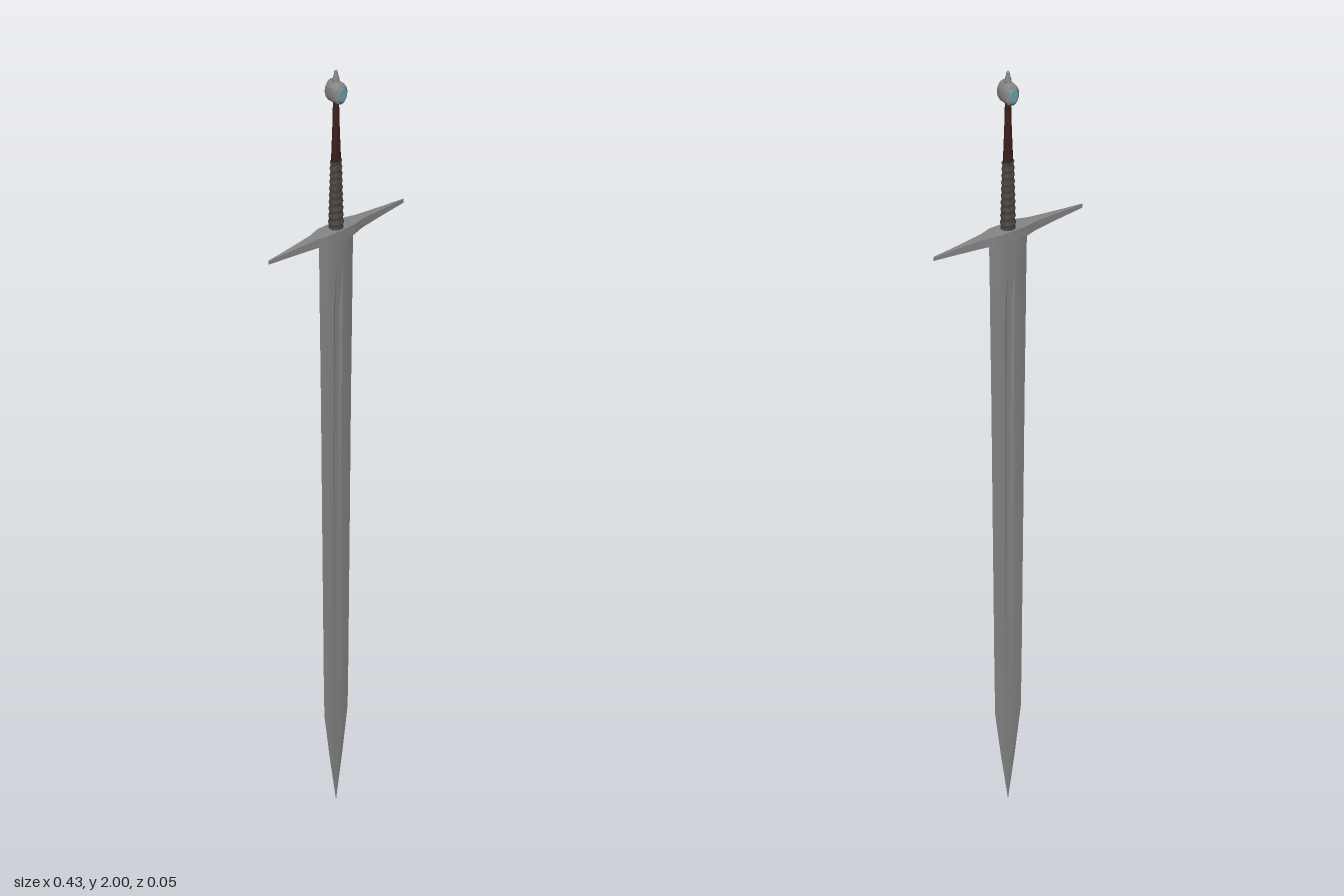
import * as THREE from 'three';
import { toCreasedNormals } from 'three/addons/utils/BufferGeometryUtils.js';

const material = (name, color) => {
  const m = new THREE.MeshStandardMaterial({ color });
  m.name = name;
  return m;
};

// Closed solid through rings of [x, z] points stacked along y
function loft(sections, crease = 0.6) {
  const n = sections[0].ring.length, pos = [], index = [];
  for (const { y, ring } of sections) for (const [x, z] of ring) pos.push(x, y, z);
  const last = (sections.length - 1) * n;
  pos.push(0, sections[0].y, 0, 0, sections.at(-1).y, 0);
  const low = last + n, high = low + 1;
  for (let j = 0; j < n; j++) {
    const k = (j + 1) % n;
    for (let i = 0; i < last; i += n) {
      index.push(i + j, i + n + j, i + k, i + k, i + n + j, i + n + k);
    }
    index.push(low, j, k, high, last + k, last + j);
  }
  const g = new THREE.BufferGeometry();
  g.setAttribute('position', new THREE.Float32BufferAttribute(pos, 3));
  g.setIndex(index);
  return toCreasedNormals(g, crease);
}

const ellipse = (rx, rz, n = 20) => Array.from({ length: n }, (_, j) => {
  const a = (j / n) * Math.PI * 2;
  return [rx * Math.cos(a), rz * Math.sin(a)];
});

// Blade section: sharp edges, flat bevels and a groove of the given depth
function bladeRing(w, t, groove) {
  const f = w * 0.26;
  const side = [[w, 0], [w * 0.6, t * 0.75], [f, t], [f * 0.5, t - groove * 0.8],
    [0, t - groove], [-f * 0.5, t - groove * 0.8], [-f, t], [-w * 0.6, t * 0.75]];
  return [...side, ...side.map(([x, z]) => [-x, -z])];
}

export function createModel() {
  const sword = new THREE.Group();
  sword.name = 'sword';
  const steel = material('steel', 0x868686);
  const wire = material('wire wrap', 0x4a4542);
  const leather = material('leather', 0x3c1f1e);
  const gem = material('gem', 0x68a3a8);
  const add = (name, geometry, mat) => {
    const mesh = new THREE.Mesh(geometry, mat);
    mesh.name = name;
    sword.add(mesh);
    return mesh;
  };

  // Blade: y, half width, half thickness, groove depth
  const blade = [
    [0, 0.0005, 0.0003, 0], [0.12, 0.02, 0.0018, 0], [0.24, 0.037, 0.0028, 0],
    [0.34, 0.039, 0.003, 0.001], [0.75, 0.044, 0.0042, 0.002], [1.1, 0.048, 0.006, 0.003],
    [1.36, 0.052, 0.008, 0.004], [1.45, 0.053, 0.009, 0], [1.55, 0.055, 0.01, 0],
  ].map(([y, w, t, g]) => ({ y, ring: bladeRing(w, t, g) }));
  add('blade', loft(blade, 0.25), steel);

  // Crossguard: x, half height, half depth
  const half = [[0.215, 0.005, 0.001], [0.14, 0.0085, 0.0065], [0.07, 0.012, 0.013],
    [0.055, 0.0125, 0.0175], [0.038, 0.0135, 0.0215]];
  const guard = [...half.map(([x, h, d]) => [-x, h, d]), ...half.toReversed()]
    .map(([y, h, d]) => ({ y, ring: [[h, -d], [h, d], [-h, d], [-h, -d]] }));
  add('crossguard', loft(guard, 0.3).rotateZ(-Math.PI / 2), steel).position.y = 1.555;

  // Lower grip with ribbed wire wrap
  const ribs = [];
  for (let i = 0; i <= 40; i++) {
    const u = i / 40, bump = 0.0013 * Math.cos(u * Math.PI * 20);
    ribs.push({
      y: 1.565 + 0.185 * u,
      ring: ellipse(0.0185 - 0.003 * u + bump, 0.0175 - 0.007 * u + bump),
    });
  }
  add('lowerGrip', loft(ribs), wire);

  // Upper grip
  const upper = [[1.745, 0.0135, 0.0098], [1.775, 0.0125, 0.0092], [1.84, 0.0095, 0.0082],
    [1.92, 0.0072, 0.0072]].map(([y, rx, rz]) => ({ y, ring: ellipse(rx, rz) }));
  add('upperGrip', loft(upper), leather);

  // Pommel: bevelled oval wheel with its axis front to back
  const lathe = (points, n) =>
    toCreasedNormals(new THREE.LatheGeometry(points.map((p) => new THREE.Vector2(...p)), n), 0.6);
  const wheel = lathe([[0, -0.023], [0.014, -0.023], [0.019, -0.019], [0.0205, -0.013],
    [0.0205, 0.013], [0.019, 0.019], [0.014, 0.023], [0, 0.023]], 28);
  add('pommel', wheel.rotateX(Math.PI / 2).scale(1, 1.45, 1), steel).position.y = 1.94;

  // Gem inlays on both faces
  for (const s of [1, -1]) {
    const inlay = new THREE.CylinderGeometry(0.0115, 0.0135, 0.002, 24)
      .rotateX(Math.PI / 2).scale(1, 1.45, 1);
    const mesh = add(s > 0 ? 'frontGem' : 'backGem', inlay, gem);
    mesh.position.set(0, 1.94, s * 0.0235);
    if (s < 0) mesh.rotation.y = Math.PI;
  }

  // Finial
  add('finial', lathe([[0, 1.96], [0.0095, 1.962], [0.0085, 1.975], [0.0055, 1.985],
    [0.004, 1.996], [0, 2]], 16), steel);
  return sword;
}
